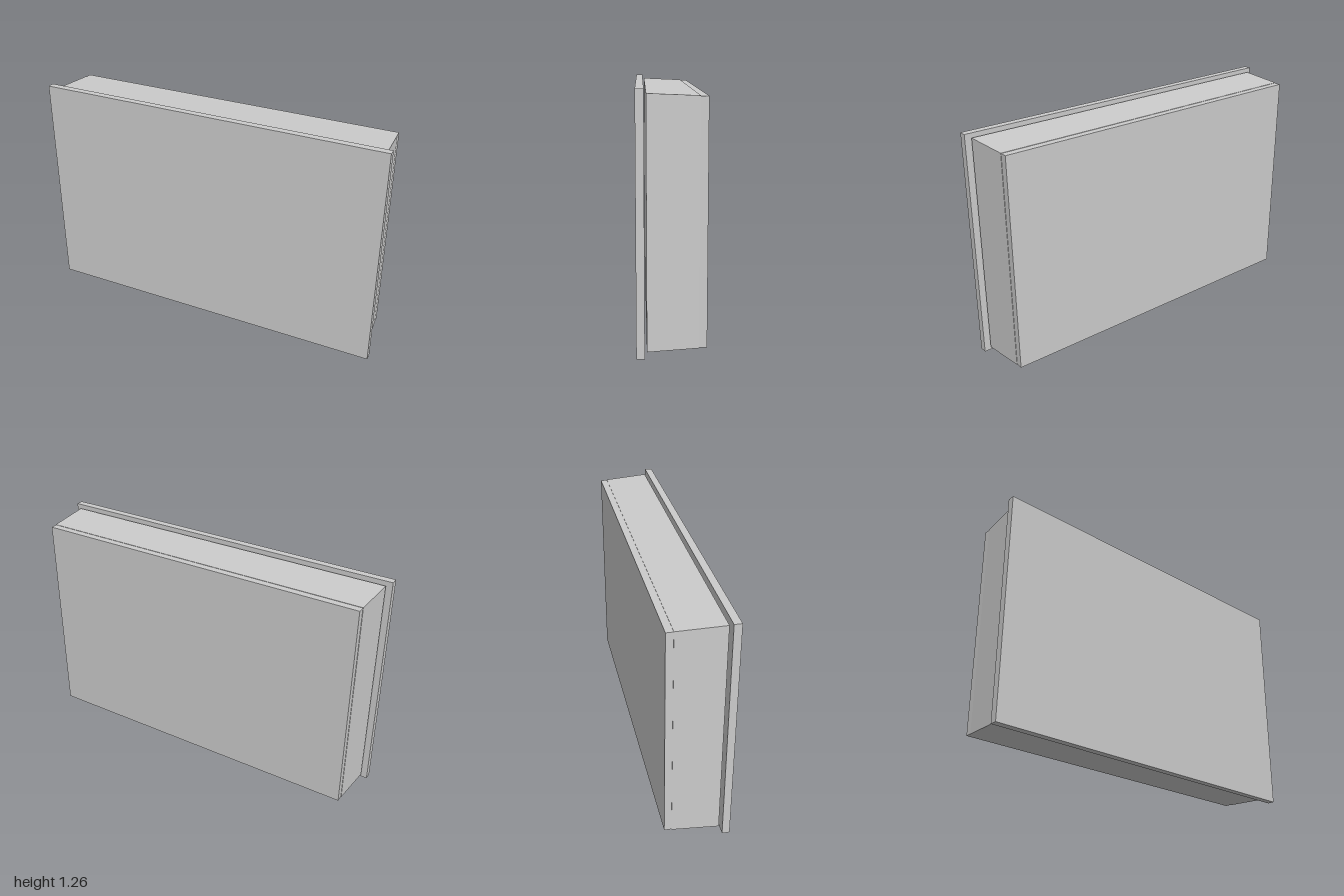
import * as THREE from 'three';

const HEIGHT = 1.26;

// Box centred on x and mid-height, whose front and back rectangles may differ in size
function taperedSlab(name, zBack, zFront, back, front) {
  const geometry = new THREE.BoxGeometry(1, 1, 1);
  const p = geometry.attributes.position;
  for (let i = 0; i < p.count; i++) {
    const isFront = p.getZ(i) > 0;
    const [w, h] = isFront ? front : back;
    p.setXYZ(i, p.getX(i) * w, HEIGHT / 2 + p.getY(i) * h, isFront ? zFront : zBack);
  }
  geometry.computeVertexNormals();
  const mesh = new THREE.Mesh(geometry, new THREE.MeshStandardMaterial({ color: 0xcccccc }));
  mesh.name = name;
  return mesh;
}

export function createModel() {
  const group = new THREE.Group();
  group.name = 'panelBox';

  // Wide front plate, set off from the body by a narrow gap
  group.add(taperedSlab('frontPanel', 0.128, 0.168, [2, HEIGHT], [2, HEIGHT]));

  // Body narrowing gently towards the back
  group.add(taperedSlab('body', -0.13, 0.118, [1.904, 1.194], [1.936, 1.216]));

  // Straight-sided back plate closing the body
  group.add(taperedSlab('backPanel', -0.168, -0.13, [1.9, 1.19], [1.9, 1.19]));

  return group;
}
